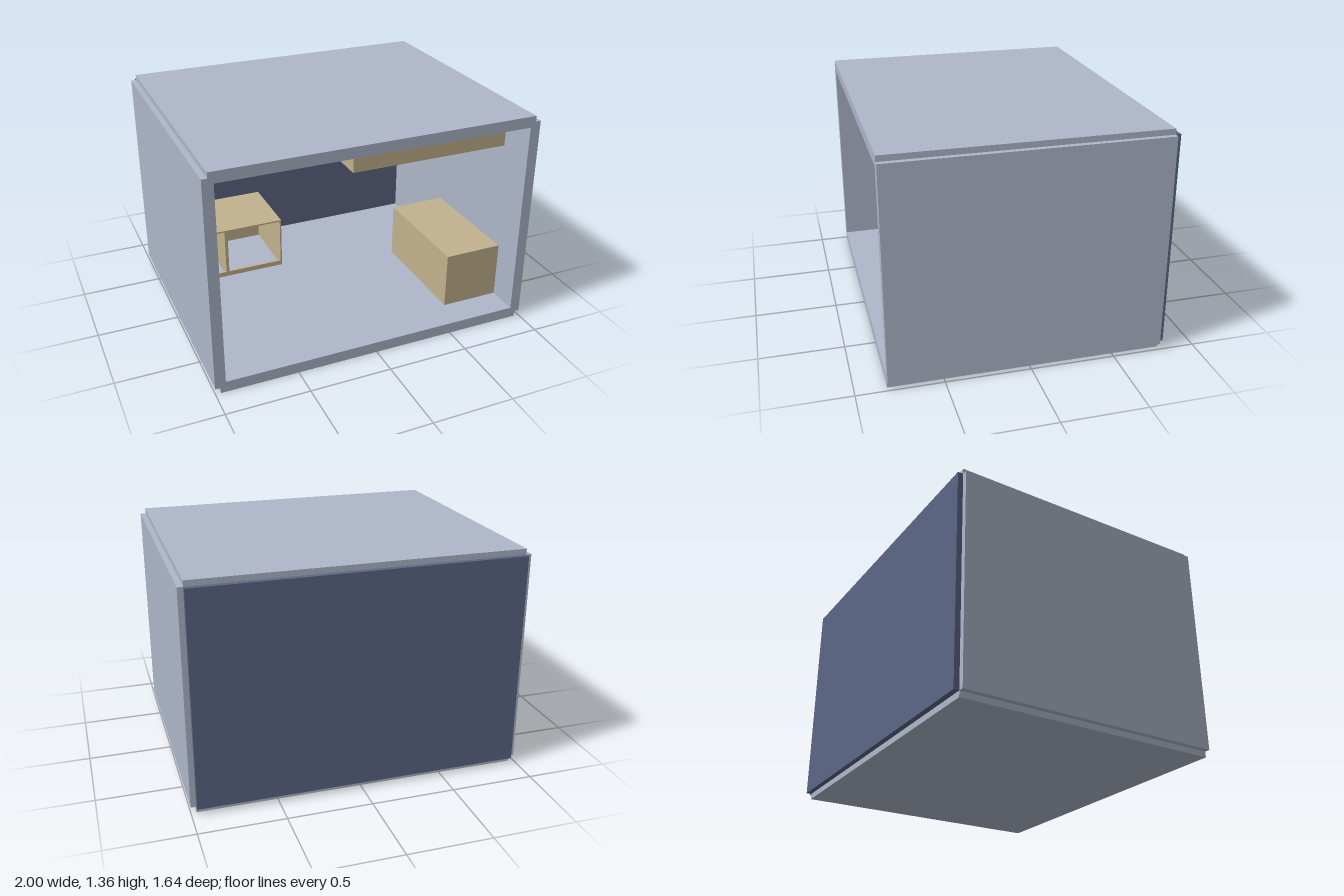
import * as THREE from 'three';

const shell = new THREE.MeshStandardMaterial({ color: 0xaeb7c9 });
const rear = new THREE.MeshStandardMaterial({ color: 0x5c6685 });
const wood = new THREE.MeshStandardMaterial({ color: 0xc2b38e });

// Box given by its lower and upper limits on each axis
function box(name, material, [x0, x1], [y0, y1], [z0, z1]) {
  const mesh = new THREE.Mesh(new THREE.BoxGeometry(x1 - x0, y1 - y0, z1 - z0), material);
  mesh.position.set((x0 + x1) / 2, (y0 + y1) / 2, (z0 + z1) / 2);
  mesh.name = name;
  return mesh;
}

export function createModel() {
  const model = new THREE.Group();
  model.name = 'openRoom';

  // Room shell: slabs and walls lap halfway into each other at the corners
  const depth = [-0.79, 0.82];
  const lapX = [-0.968, 0.968];
  const lapY = [0.035, 1.323];
  model.add(
    box('floor', shell, lapX, [0, 0.068], depth),
    box('ceiling', shell, lapX, [1.29, 1.357], depth),
    box('rightWall', shell, [-1, -0.936], lapY, depth),
    box('leftWall', shell, [0.936, 1], lapY, depth),
    box('backWall', rear, lapX, lapY, [-0.822, -0.757])
  );

  // Open two-bay cabinet on the floor at the back
  const cabinet = new THREE.Group();
  cabinet.name = 'openCabinet';
  const bays = [-0.936, -0.2];
  const cabZ = [-0.71, -0.245];
  const sideY = [0.068, 0.4];
  cabinet.add(
    box('cabinetTop', wood, bays, [0.4, 0.41], cabZ),
    box('cabinetBack', wood, bays, sideY, [-0.71, -0.7]),
    box('cabinetSide', wood, [-0.21, -0.2], sideY, cabZ),
    box('cabinetDivider', wood, [-0.595, -0.575], sideY, cabZ),
    box('cabinetPlinth', wood, bays, [0.068, 0.1], [-0.265, -0.245])
  );
  model.add(cabinet);

  // Bench on the floor and locker under the ceiling, both against the left wall
  model.add(
    box('bench', wood, [0.568, 0.936], [0.068, 0.42], [-0.1, 0.63]),
    box('overheadLocker', wood, [-0.065, 0.936], [1.088, 1.29], [0.1, 0.586])
  );

  return model;
}
